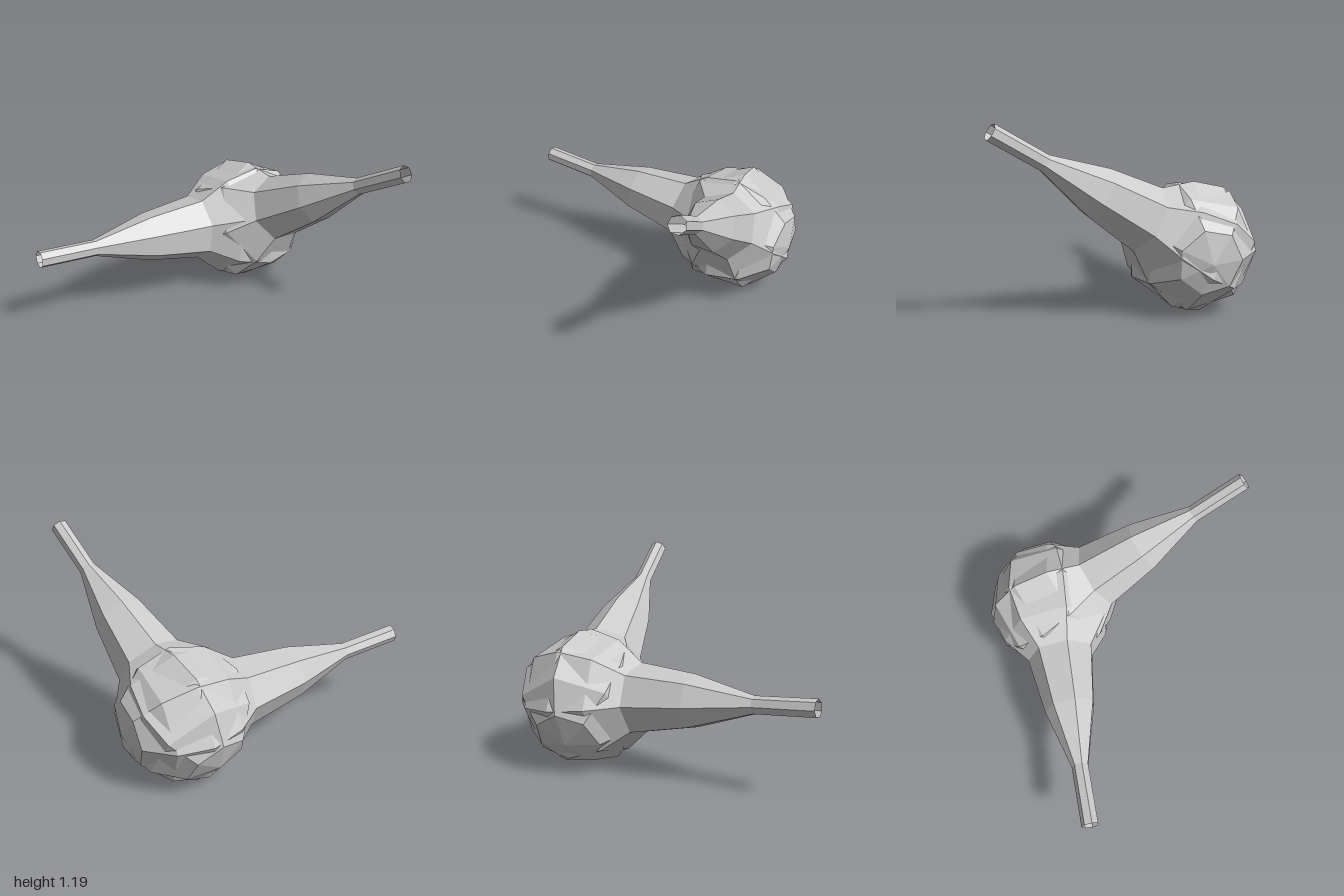
import * as THREE from 'three';

// Profile shared by both bulbs: [distance along axis, radius], from rounded back to open neck tip
const PROFILE = [
  [-0.4, 0], [-0.355, 0.2], [-0.205, 0.355], [0, 0.41], [0.21, 0.345],
  [0.375, 0.215], [0.74, 0.16], [1.12, 0.053], [1.49, 0.053],
];
const SIDES = 7;
const CENTRE = new THREE.Vector3(-0.3, 0.41, -0.48);

// A faceted ball drawn out into a tapering tube that points at the tip
function makeBulb(name, tip, rollDegrees, material) {
  const points = PROFILE.map(([t, r]) => new THREE.Vector2(r, t));
  const roll = THREE.MathUtils.degToRad(rollDegrees);
  const geometry = new THREE.LatheGeometry(points, SIDES, roll, Math.PI * 2);

  // local y runs along the neck, local z is the upper side
  const axis = tip.clone().sub(CENTRE).normalize();
  const side = axis.clone().cross(new THREE.Vector3(0, 1, 0)).normalize();
  const upper = side.clone().cross(axis);
  geometry.applyMatrix4(new THREE.Matrix4().makeBasis(side, axis, upper));

  const mesh = new THREE.Mesh(geometry, material);
  mesh.name = name;
  mesh.position.copy(CENTRE);
  return mesh;
}

export function createModel() {
  const group = new THREE.Group();
  group.name = 'twinNeckedBulb';
  const material = new THREE.MeshStandardMaterial({
    color: 0xcccccc, flatShading: true, side: THREE.DoubleSide,
  });

  // Two copies share one ball centre, their necks spread about a right angle apart
  group.add(makeBulb('frontBulbAndNeck', new THREE.Vector3(-0.95, 0.565, 0.85), -14, material));
  group.add(makeBulb('leftBulbAndNeck', new THREE.Vector3(0.965, 1.165, -0.165), -9, material));
  return group;
}
